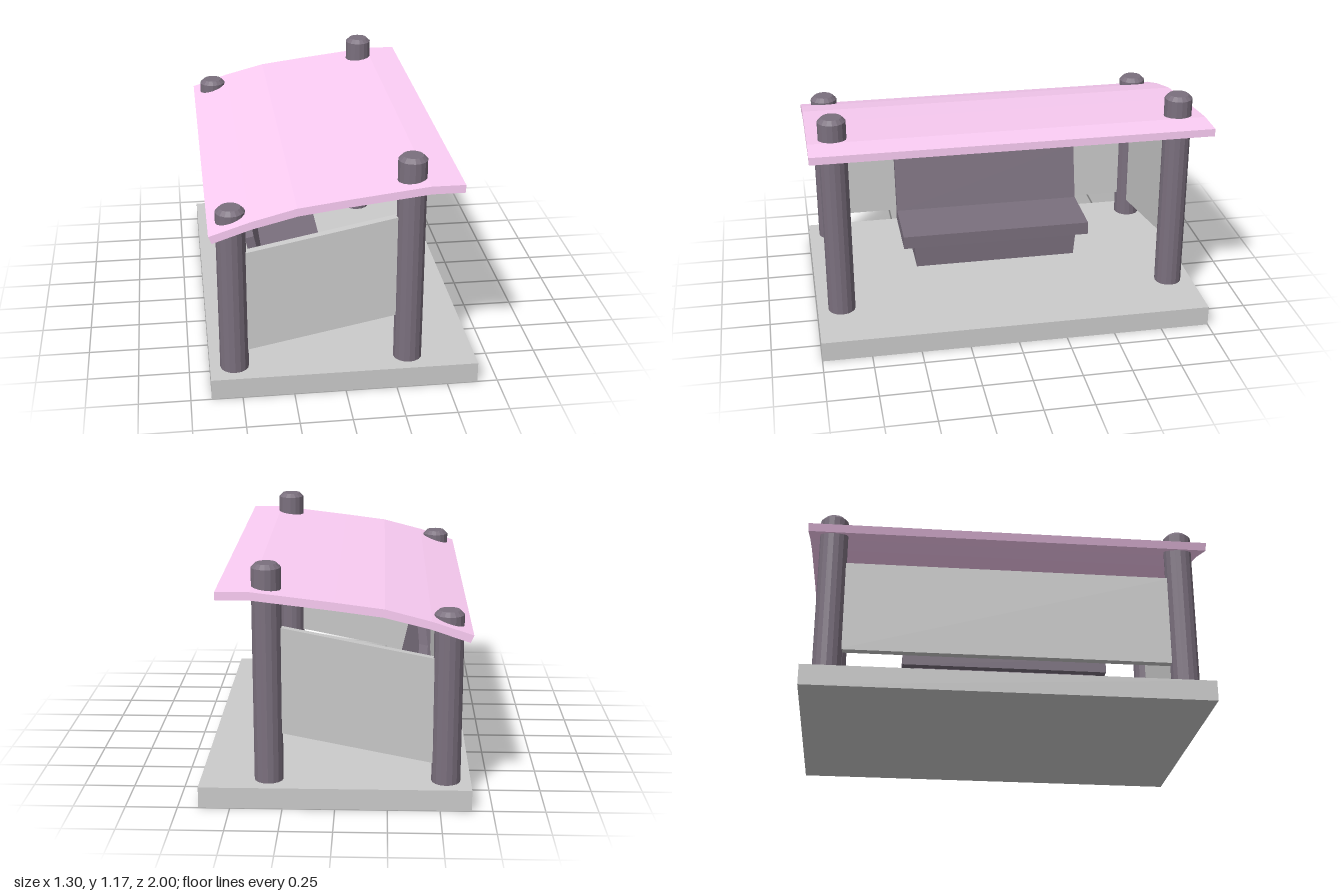
import * as THREE from 'three';

const grey = new THREE.MeshStandardMaterial({ color: 0xcccccc, flatShading: true });
const dark = new THREE.MeshStandardMaterial({ color: 0x7b707e, flatShading: true });
const pink = new THREE.MeshStandardMaterial({ color: 0xfdcef6, flatShading: true });

function add(group, name, geometry, material, x = 0, y = 0, z = 0) {
  const mesh = new THREE.Mesh(geometry, material);
  mesh.name = name;
  mesh.position.set(x, y, z);
  group.add(mesh);
  return mesh;
}

// Extrudes an outline drawn in x, y along z, centred on z = 0
function slab(points, depth) {
  const shape = new THREE.Shape(points.map(([x, y]) => new THREE.Vector2(x, y)));
  return new THREE.ExtrudeGeometry(shape, { depth, bevelEnabled: false }).translate(0, 0, -depth / 2);
}

// Round post with a chamfered top
function post(bottom, top) {
  const profile = [[0, bottom], [0.07, bottom], [0.07, top - 0.02], [0.05, top], [0, top]];
  return new THREE.LatheGeometry(profile.map(([r, y]) => new THREE.Vector2(r, y)), 16);
}

export function createModel() {
  const shelter = new THREE.Group();
  shelter.name = 'shelter';

  add(shelter, 'base', new THREE.BoxGeometry(1.3, 0.104, 2), grey, 0, 0.052, 0);

  // Posts and sloping side panels at both ends
  for (const [side, z] of [['left', 0.875], ['right', -0.875]]) {
    add(shelter, side + 'RearPost', post(0.1, 0.955), dark, -0.53, 0, z);
    add(shelter, side + 'FrontPost', post(0.1, 1.172), dark, 0.32, 0, z);
    const outline = [[-0.5, 0.193], [0.29, 0.35], [0.29, 0.872], [-0.5, 0.715]];
    add(shelter, side + 'Panel', slab(outline, 0.04), grey, 0, 0, z);
  }

  // Rear wall between the low posts
  add(shelter, 'rearWall', new THREE.BoxGeometry(0.04, 0.47, 1.66), grey, -0.53, 0.468, 0);

  // Bent roof sheet: top edge out, bottom edge back
  const roof = [
    [-0.622, 0.833], [-0.44, 0.895], [-0.225, 0.949], [0, 0.979], [0.39, 1.025], [0.545, 1.025],
    [0.545, 1.064], [0.385, 1.064], [0, 1.018], [-0.23, 0.988], [-0.445, 0.932], [-0.637, 0.869],
  ];
  add(shelter, 'roof', slab(roof, 2), pink);

  // Bench
  const bench = new THREE.Group();
  bench.name = 'bench';
  shelter.add(bench);

  // Plinth narrows slightly towards the floor
  const plinth = new THREE.BoxGeometry(0.295, 0.14, 0.9);
  const p = plinth.attributes.position;
  for (let i = 0; i < p.count; i++) {
    if (p.getY(i) < 0) p.setXYZ(i, p.getX(i) * 0.97, p.getY(i), p.getZ(i) * 0.975);
  }
  add(bench, 'plinth', plinth, dark, -0.193, 0.172, 0);
  add(bench, 'seat', new THREE.BoxGeometry(0.375, 0.07, 1.02), dark, -0.193, 0.277, 0);

  // Backrest leans backwards and has clipped top corners
  const back = [[-0.51, 0], [0.51, 0], [0.51, 0.315], [0.4, 0.342], [-0.4, 0.342], [-0.51, 0.315]];
  const backGeometry = slab(back, 0.045).rotateY(Math.PI / 2);
  const backrest = add(bench, 'backrest', backGeometry, dark, -0.353, 0.303, 0);
  backrest.rotation.z = 0.22;

  return shelter;
}
